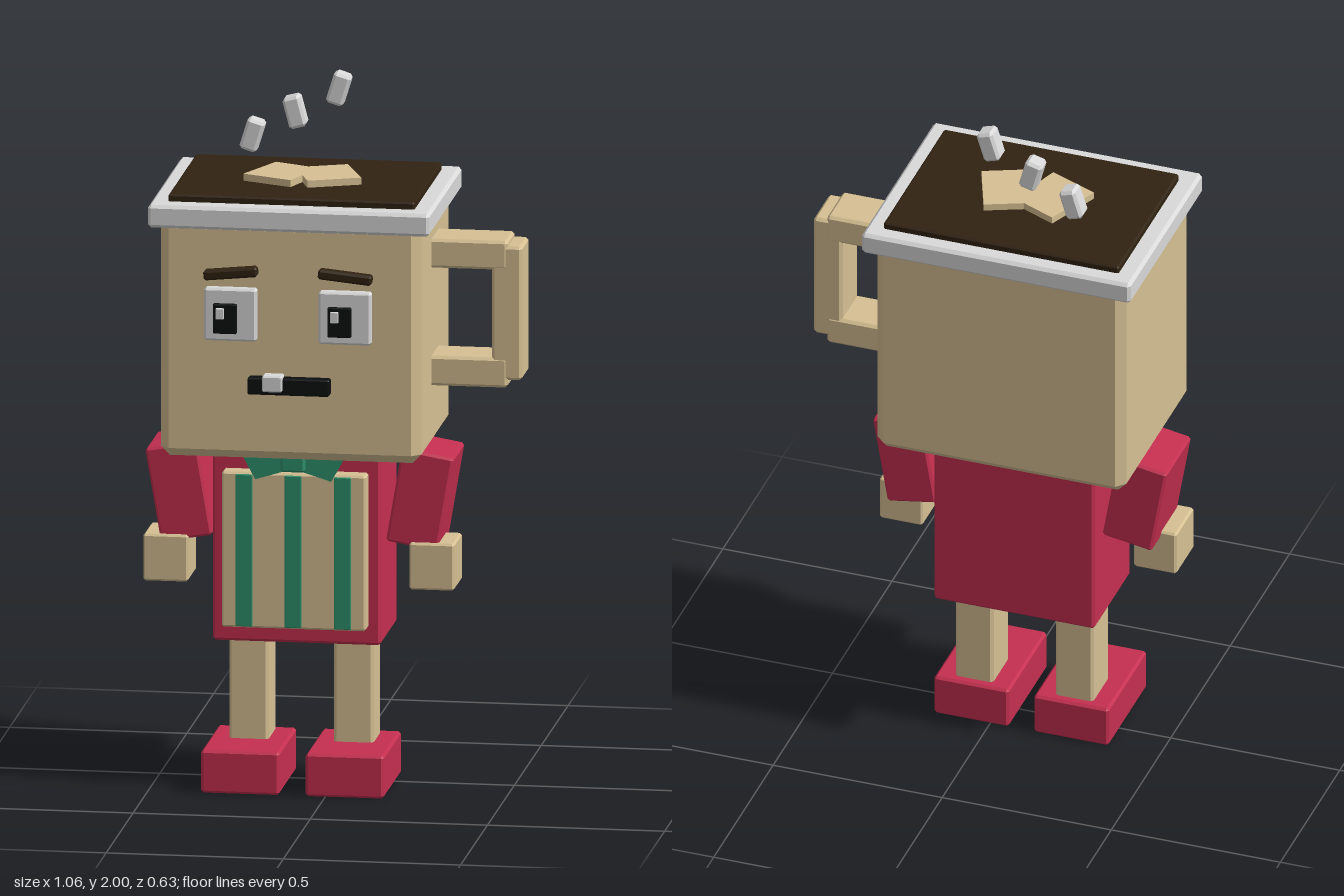
import * as THREE from 'three';
import { ConvexGeometry } from 'three/addons/geometries/ConvexGeometry.js';

const CX = -0.0925; // symmetry plane of the figure (the handle shifts it off centre)

function material(name, color) {
  const m = new THREE.MeshStandardMaterial({ color });
  m.name = name;
  return m;
}

// Box with flat chamfers on every edge
function chamferBox(w, h, d, c) {
  const pts = [];
  for (const x of [-w / 2, w / 2]) for (const y of [-h / 2, h / 2]) for (const z of [-d / 2, d / 2]) {
    const sx = Math.sign(x) * c, sy = Math.sign(y) * c, sz = Math.sign(z) * c;
    pts.push(new THREE.Vector3(x, y - sy, z - sz));
    pts.push(new THREE.Vector3(x - sx, y, z - sz));
    pts.push(new THREE.Vector3(x - sx, y - sy, z));
  }
  return new ConvexGeometry(pts);
}

export function createModel() {
  const root = new THREE.Group();
  root.name = 'mugFigure';
  const tan = material('tan', 0xd6c093);
  const red = material('crimson', 0xc52f50);
  const green = material('green', 0x2f906c);
  const white = material('white', 0xd9d9d9);
  const coffee = material('coffee brown', 0x302211);
  const black = material('black', 0x0c0e0f);

  const add = (parent, name, geo, mat) => {
    const mesh = new THREE.Mesh(geo, mat);
    mesh.name = name;
    parent.add(mesh);
    return mesh;
  };
  // Chamfered block from its limits on each axis
  const block = (parent, name, mat, [x0, x1], [y0, y1], [z0, z1], c = 0.006) => {
    const mesh = add(parent, name, chamferBox(x1 - x0, y1 - y0, z1 - z0, c), mat);
    mesh.position.set((x0 + x1) / 2, (y0 + y1) / 2, (z0 + z1) / 2);
    return mesh;
  };
  const group = (name) => {
    const g = new THREE.Group();
    g.name = name;
    root.add(g);
    return g;
  };

  // Mug head
  const head = group('head');
  block(head, 'mug', tan, [-0.46, 0.275], [0.97, 1.65], [-0.285, 0.27], 0.025);
  block(head, 'rim', white, [-0.49, 0.305], [1.63, 1.695], [-0.315, 0.3], 0.009);
  block(head, 'coffee', coffee, [-0.44, 0.255], [1.68, 1.715], [-0.268, 0.243], 0.005);

  // Foam patch floating on the coffee
  const foam = new THREE.Shape([
    [-0.19, -0.117], [-0.0925, -0.073], [0.012, -0.117], [0.075, 0.043],
    [-0.068, 0.104], [-0.0925, 0.037], [-0.116, 0.104], [-0.258, 0.043],
  ].map(([x, z]) => new THREE.Vector2(x, -z)));
  const foamGeo = new THREE.ExtrudeGeometry(foam, { depth: 0.027, bevelEnabled: false });
  foamGeo.rotateX(-Math.PI / 2);
  add(head, 'foam', foamGeo, tan).position.y = 1.708;

  // Sugar cubes tumbling in
  for (const [x, y, tilt] of [[-0.257, 1.81, -0.3], [-0.137, 1.88, 0.26], [-0.013, 1.95, -0.3]]) {
    const cube = add(head, 'sugarCube', chamferBox(0.05, 0.09, 0.056, 0.008), white);
    cube.position.set(x, y, -0.128);
    cube.rotation.z = tilt;
  }

  // Handle
  const handle = group('handle');
  block(handle, 'handleTop', tan, [0.26, 0.49], [1.487, 1.57], [-0.08, 0.06], 0.008);
  block(handle, 'handleBottom', tan, [0.26, 0.49], [1.15, 1.235], [-0.08, 0.06], 0.008);
  block(handle, 'handleGrip', tan, [0.445, 0.53], [1.172, 1.555], [-0.078, 0.058], 0.008);

  // Face
  const face = group('face');
  for (const x of [-0.257, 0.066]) {
    const side = Math.sign(x - CX);
    block(face, 'eye', white, [x - 0.074, x + 0.074], [1.313, 1.463], [0.25, 0.298]);
    block(face, 'pupil', black, [x - 0.047, x + 0.02], [1.336, 1.421], [0.28, 0.311], 0.003);
    block(face, 'glint', white, [x - 0.039, x - 0.015], [1.378, 1.41], [0.3, 0.317], 0.002);
    const brow = block(face, 'eyebrow', coffee, [x - 0.076, x + 0.076], [1.491, 1.519], [0.25, 0.3]);
    brow.rotation.z = -side * 0.1;
  }
  block(face, 'mouth', black, [-0.208, 0.023], [1.163, 1.211], [0.25, 0.302], 0.004);
  block(face, 'tooth', white, [-0.165, -0.108], [1.174, 1.22], [0.27, 0.315], 0.004);

  // Torso with striped shirt front
  const torso = group('torso');
  block(torso, 'jacket', red, [-0.33, 0.145], [0.42, 0.98], [-0.16, 0.145], 0.008);
  block(torso, 'shirtFront', tan, [-0.297, 0.11], [0.47, 0.915], [0.13, 0.193]);
  for (const x of [-0.233, -0.095, 0.045])
    block(torso, 'stripe', green, [x - 0.024, x + 0.024], [0.475, 0.91], [0.192, 0.2], 0.002);

  // Bow tie
  const bow = group('bowTie');
  for (const s of [-1, 1]) {
    const wing = new THREE.Shape([[0.01, 0.93], [0.107, 0.9], [0.15, 0.98], [0.01, 0.98]]
      .map(([x, y]) => new THREE.Vector2(s * x, y)));
    const geo = new THREE.ExtrudeGeometry(wing, { depth: 0.055, bevelEnabled: false });
    add(bow, 'bowWing', geo, green).position.set(CX, 0, 0.155);
  }
  block(bow, 'bowKnot', green, [-0.127, -0.058], [0.925, 0.985], [0.15, 0.222]);

  // Limbs, mirrored about the body centre
  for (const s of [-1, 1]) {
    const side = s > 0 ? 'left' : 'right';
    const span = (a, b) => [CX + s * a, CX + s * b].sort((p, q) => p - q);
    const limb = group(side + 'Limbs');
    const arm = add(limb, side + 'Arm', chamferBox(0.148, 0.27, 0.213, 0.007), red);
    arm.position.set(CX + s * 0.34, 0.83, -0.009);
    arm.rotation.z = -s * 0.168;
    block(limb, side + 'Hand', tan, span(0.312, 0.439), [0.575, 0.709], [-0.043, 0.108]);
    block(limb, side + 'Leg', tan, span(0.092, 0.204), [0.11, 0.43], [-0.075, 0.06], 0.008);
    block(limb, side + 'Foot', red, span(0.037, 0.258), [0.0, 0.122], [-0.1, 0.225], 0.007);
  }
  return root;
}
